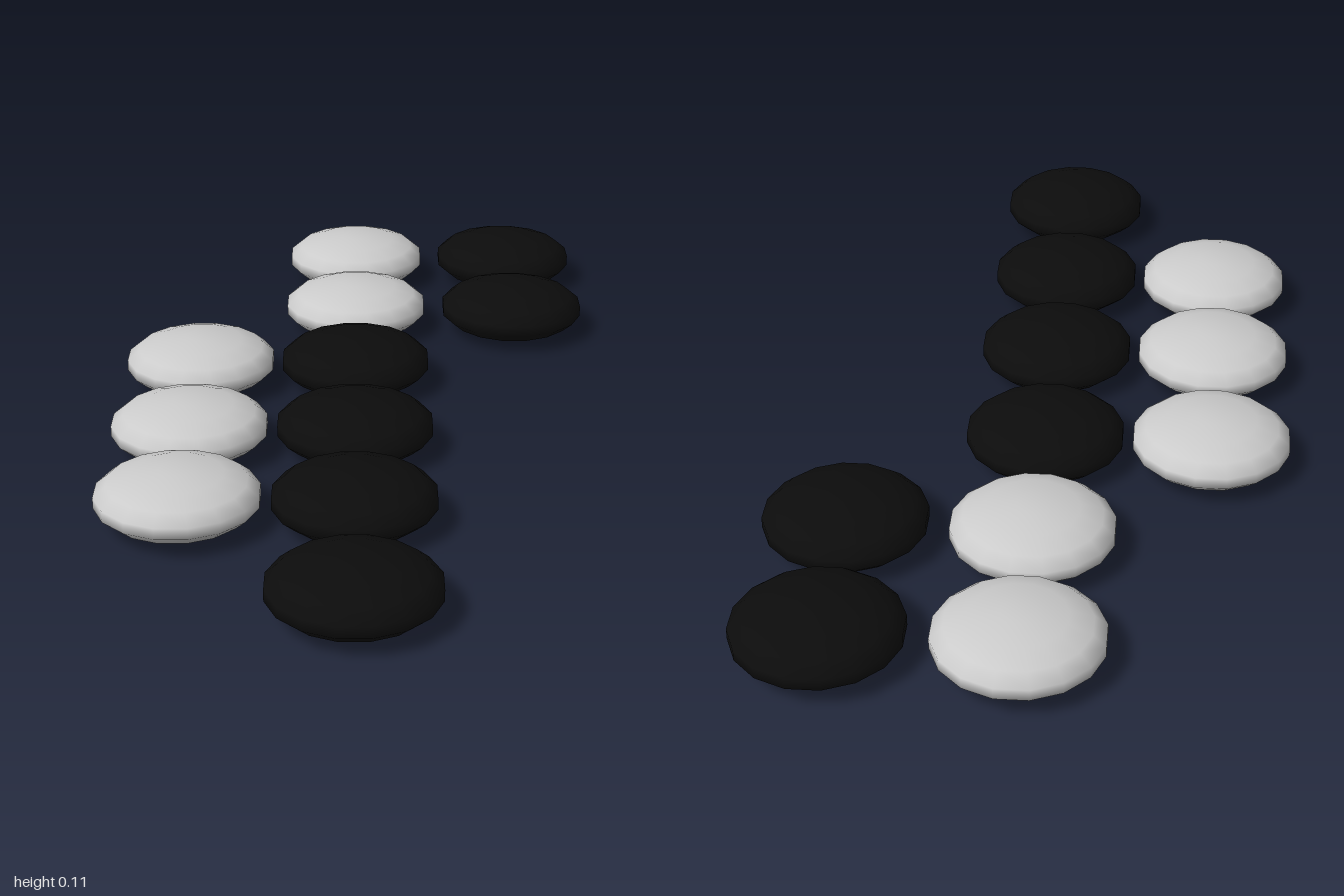
import * as THREE from 'three';

const RADIUS = 0.162, HALF_HEIGHT = 0.057, SIDES = 16;

// Lens-shaped stone: elliptical profile with a narrow rim and small flat caps
function stoneGeometry() {
  const points = [new THREE.Vector2(0, -HALF_HEIGHT)];
  const rimAngle = Math.PI / 16;
  for (let i = 0; i < 8; i++) {
    const a = -Math.PI / 2 + rimAngle * (2 * i + 1);
    points.push(new THREE.Vector2(
      RADIUS * Math.cos(a) / Math.cos(rimAngle),
      HALF_HEIGHT * Math.sin(a) / Math.cos(rimAngle)));
  }
  points.push(new THREE.Vector2(0, HALF_HEIGHT));
  return new THREE.LatheGeometry(points, SIDES);
}

export function createModel() {
  const model = new THREE.Group();
  model.name = 'boardStones';
  const geometry = stoneGeometry();
  const light = new THREE.MeshStandardMaterial({ color: 0xcccccc });
  const dark = new THREE.MeshStandardMaterial({ color: 0x0c0c0c });

  // Rows of stones running front to back: x of the row, z of each stone
  const rows = [
    { name: 'lightStone', material: light, x: -0.353, zs: [-0.18, 0.161, 0.483] },
    { name: 'lightStone', material: light, x: -0.013, zs: [-0.838, -0.51] },
    { name: 'darkStone', material: dark, x: -0.013, zs: [-0.18, 0.161, 0.49, 0.838] },
    { name: 'darkStone', material: dark, x: 0.351, zs: [-0.838, -0.5] },
  ];
  for (const { name, material, x, zs } of rows) {
    for (const z of zs) {
      const stone = new THREE.Mesh(geometry, material);
      stone.name = name;
      stone.position.set(x, HALF_HEIGHT, z);
      stone.rotation.y = Math.PI / SIDES;
      model.add(stone);
    }
  }
  return model;
}
